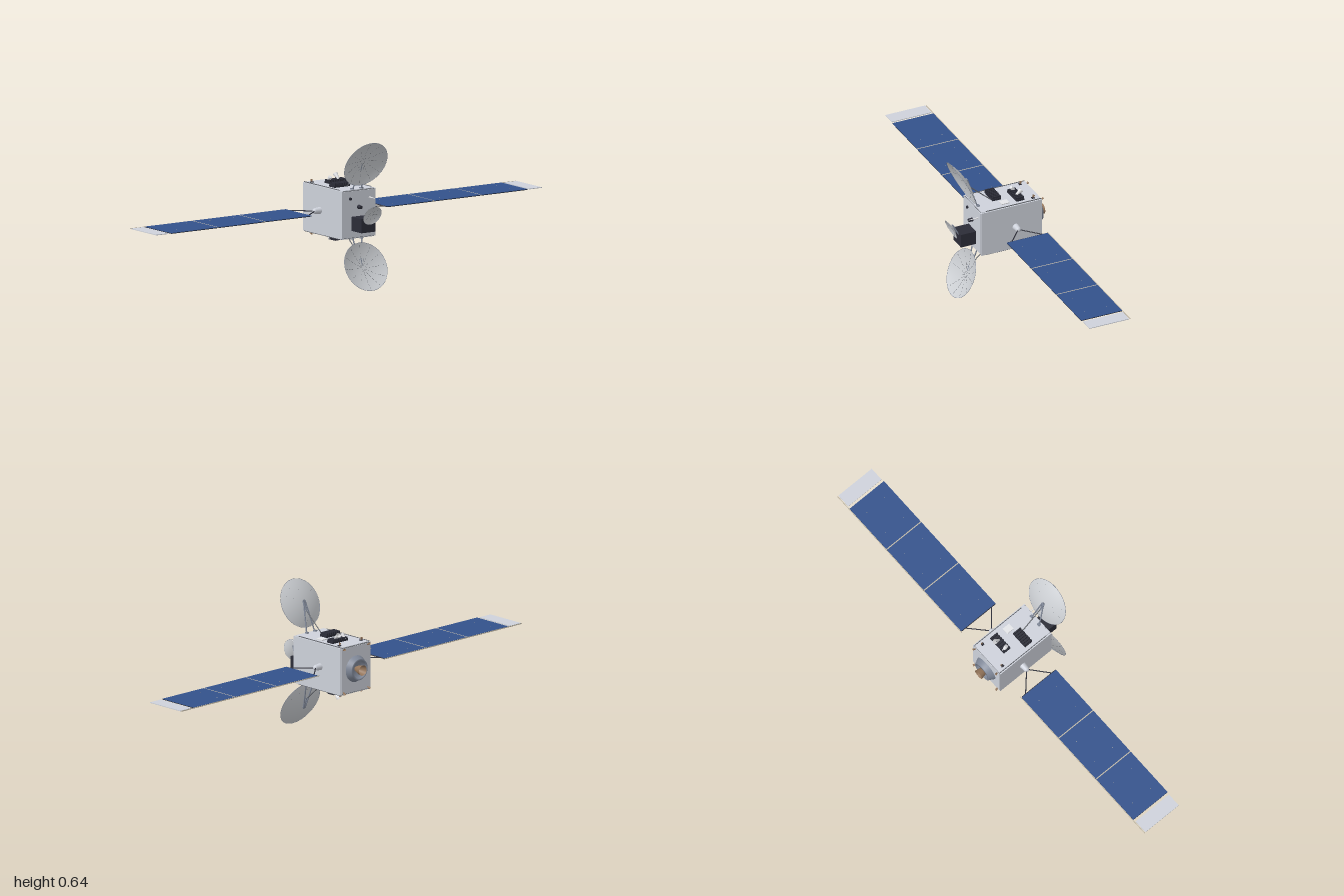
import * as THREE from 'three';

const mat = (name, color, side = THREE.FrontSide) => {
  const m = new THREE.MeshStandardMaterial({ color, side });
  m.name = name;
  return m;
};

export function createModel() {
  const model = new THREE.Group();
  model.name = 'satellite';
  const silver = mat('silver', 0xcdd1da);
  const white = mat('white', 0xe6e7ea, THREE.DoubleSide);
  const dishGrey = mat('dishGrey', 0xc9ccd0, THREE.DoubleSide);
  const blue = mat('solarBlue', 0x33518b);
  const black = mat('panelBack', 0x202022);
  const dark = mat('darkEquipment', 0x2b2c37);
  const steel = mat('steel', 0x808898, THREE.DoubleSide);
  const bronze = mat('bronze', 0x94755a, THREE.DoubleSide);
  const tan = mat('tanTrim', 0xc2b9a6);
  const grey = mat('darkGrey', 0x63666c);

  const CY = 0.32; // height of the body's axis
  const UP = new THREE.Vector3(0, 1, 0);
  const V = (x, y, z) => new THREE.Vector3(x, y, z);

  const add = (name, geo, m, x = 0, y = 0, z = 0, parent = model) => {
    const mesh = new THREE.Mesh(geo, m);
    mesh.name = name;
    mesh.position.set(x, y, z);
    parent.add(mesh);
    return mesh;
  };
  const box = (name, m, w, h, d, x, y, z, parent) =>
    add(name, new THREE.BoxGeometry(w, h, d), m, x, y, z, parent);
  // Tapered round part running from a to b
  const rod = (name, m, a, b, r0, r1 = r0, open = false, sides = 10) => {
    const dir = b.clone().sub(a);
    const mid = a.clone().add(b).multiplyScalar(0.5);
    const mesh = add(name, new THREE.CylinderGeometry(r1, r0, dir.length(), sides, 1, open), m, mid.x, mid.y, mid.z);
    mesh.quaternion.setFromUnitVectors(UP, dir.normalize());
    return mesh;
  };

  // Body: core with slightly proud panels on each face
  box('bodyCore', grey, 0.168, 0.204, 0.282, 0, CY, -0.037);
  for (const s of [-1, 1]) {
    box('sidePanel', silver, 0.006, 0.206, 0.286, s * 0.085, CY, -0.036);
    box('deckPanel', silver, 0.162, 0.005, 0.28, 0, CY + s * 0.1025, -0.037);
    box('endPanel', silver, 0.162, 0.2, 0.004, 0, CY, s > 0 ? 0.105 : -0.178);
    for (const t of [-1, 1])
      box('edgeRail', grey, 0.003, 0.003, 0.26, s * 0.082, CY + t * 0.1055, -0.047);
  }

  // Solar wings
  const PZ = -0.057;
  for (const s of [-1, 1]) {
    rod('wingHub', silver, V(s * 0.086, CY, -0.054), V(s * 0.114, CY, -0.054), 0.015, 0.012, false, 20);
    add('hubCap', new THREE.SphereGeometry(0.012, 16, 12), silver, s * 0.113, CY, -0.054);
    for (const z of [-0.13, 0.016])
      rod('yokeArm', dark, V(s * 0.114, CY, -0.054), V(s * 0.196, CY, z), 0.0023);
    rod('yokeBar', dark, V(s * 0.196, CY, -0.15), V(s * 0.196, CY, 0.037), 0.0018);
    for (let i = 0; i < 3; i++) {
      const x = s * (0.317 + i * 0.2435);
      box('panelBack', black, 0.24, 0.002, 0.192, x, CY - 0.001, PZ);
      box('solarCells', blue, 0.24, 0.002, 0.192, x, CY + 0.001, PZ);
      if (i < 2) box('panelHinge', tan, 0.0045, 0.0042, 0.192, x + s * 0.1218, CY, PZ);
      // Small hold-down studs
      for (const dx of [-0.06, 0.06])
        for (const dz of [-0.05, 0.05])
          box('stud', tan, 0.002, 0.001, 0.002, x + dx, CY + 0.0023, PZ + dz);
    }
    box('endFlap', silver, 0.064, 0.003, 0.186, s * 0.968, CY, PZ);
    box('wingRail', tan, 0.81, 0.003, 0.003, s * 0.595, CY, PZ - 0.098);
  }

  // Parabolic dish; its axis lies in the yz plane, pointing along (ny, nz)
  const dish = (name, R, depth, y, z, ny, nz, spokes) => {
    const g = new THREE.Group();
    g.name = name;
    g.position.set(0, y - ny * depth, z - nz * depth);
    g.rotation.x = Math.atan2(nz, ny);
    model.add(g);
    const prof = [];
    for (let i = 0; i <= 10; i++) prof.push(new THREE.Vector2((R * i) / 10, depth * (i / 10) ** 2));
    add(name + 'Reflector', new THREE.LatheGeometry(prof, 48), dishGrey, 0, 0, 0, g);
    const rim = add(name + 'Rim', new THREE.TorusGeometry(R, R * 0.008, 6, 48), steel, 0, depth, 0, g);
    rim.rotation.x = Math.PI / 2;
    // Dashed radial seams on the concave face
    for (let k = 0; k < spokes; k++) {
      const arm = new THREE.Group();
      arm.name = 'seam';
      arm.rotation.y = (k / spokes) * Math.PI * 2;
      g.add(arm);
      for (let j = 0; j < 6; j++) {
        const t = 0.12 + j * 0.15;
        const dash = box('seamDash', grey, R * 0.1, 0.0006, R * 0.008, R * t, depth * t * t + 0.0004, 0, arm);
        dash.rotation.z = Math.atan((2 * depth * t) / R);
      }
    }
    add(name + 'Hub', new THREE.CylinderGeometry(R * 0.06, R * 0.08, R * 0.06, 16), steel, 0, -R * 0.03, 0, g);
  };

  // Ribbed electronics unit on a deck
  const ribbed = (s, x, z, w, d, h) => {
    box('unitBase', dark, w, h * 0.5, d, x, CY + s * (0.105 + h * 0.25), z);
    const n = 7;
    for (let i = 0; i < n; i++)
      box('unitRib', dark, (w / n) * 0.55, h * 0.55, d, x - w / 2 + (w / n) * (i + 0.5), CY + s * (0.105 + h * 0.72), z);
  };

  // Upper and lower decks mirror each other
  for (const s of [1, -1]) {
    const P = (x, h, z) => V(x, CY + s * h, z);
    dish(s > 0 ? 'upperDish' : 'lowerDish', 0.107, 0.023, CY + s * 0.2205, 0.159, -s * 0.427, 0.904, 12);
    for (const t of [-1, 1]) {
      rod('dishArm', steel, P(t * 0.024, 0.1, 0.094), P(t * 0.005, 0.232, 0.133), 0.003);
      box('armFoot', steel, 0.014, 0.006, 0.012, t * 0.024, CY + s * 0.107, 0.092);
      // Small corner thrusters
      rod('deckThruster', bronze, P(t * 0.064, 0.104, -0.147), P(t * 0.064, 0.118, -0.151), 0.002, 0.005, true, 12);
      rod('cornerThruster', bronze, P(t * 0.07, 0.092, -0.178), P(t * 0.074, 0.099, -0.191), 0.002, 0.005, true, 12);
      box('thrusterMount', dark, 0.012, 0.004, 0.012, t * 0.064, CY + s * 0.106, -0.147);
    }
    rod('dishStrut', grey, P(0, 0.104, 0.018), P(0, 0.192, 0.119), 0.0022);
    rod('strutBrace', steel, P(0, 0.19, 0.121), P(0, 0.232, 0.134), 0.0035);
    ribbed(s, -0.024, 0, 0.08, 0.04, 0.018);
    ribbed(s, 0.018, -0.088, 0.09, 0.037, 0.016);
    box('deckBox', white, 0.03, 0.004, 0.036, 0.046, CY + s * 0.107, -0.02);
    // Tilted horn antennas
    rod('horn', white, P(0.03, 0.118, -0.084), P(0.03, 0.138, -0.108), 0.004, 0.011, true, 20);
    rod('hornSmall', white, P(-0.015, 0.105, -0.1), P(-0.015, 0.133, -0.082), 0.008, 0.008, false, 16);
  }

  // Front equipment: feed box, small dish and sensors
  box('frontBox', dark, 0.074, 0.061, 0.073, 0, 0.28, 0.142);
  dish('frontDish', 0.045, 0.011, 0.326, 0.208, -0.411, 0.912, 8);
  for (const t of [-1, 1])
    rod('frontDishArm', steel, V(t * 0.012, 0.3, 0.177), V(t * 0.004, 0.345, 0.2), 0.003);
  rod('frontSensor', dark, V(0, 0.35, 0.106), V(0, 0.35, 0.126), 0.009, 0.007, false, 16);
  rod('frontAntenna', white, V(0.055, 0.386, 0.106), V(0.055, 0.386, 0.152), 0.0035, 0.001);
  rod('sunSensor', dark, V(-0.045, 0.388, 0.106), V(-0.045, 0.388, 0.114), 0.006, 0.006, false, 12);

  // Rear launch ring and main engine nozzle
  const ring = [[0.056, 0], [0.058, 0.004], [0.046, 0.026], [0.046, 0.029], [0.038, 0.029], [0.036, 0.006], [0, 0.006]];
  const adapter = add('launchRing', new THREE.LatheGeometry(ring.map(p => new THREE.Vector2(...p)), 40), steel, 0, CY, -0.177);
  adapter.rotation.x = -Math.PI / 2;
  const bell = [[0.008, 0], [0.013, 0.01], [0.019, 0.026], [0.0225, 0.046]];
  const nozzle = add('mainNozzle', new THREE.LatheGeometry(bell.map(p => new THREE.Vector2(...p)), 32), bronze, 0, CY, -0.179);
  nozzle.rotation.x = -Math.PI / 2;

  return model;
}
